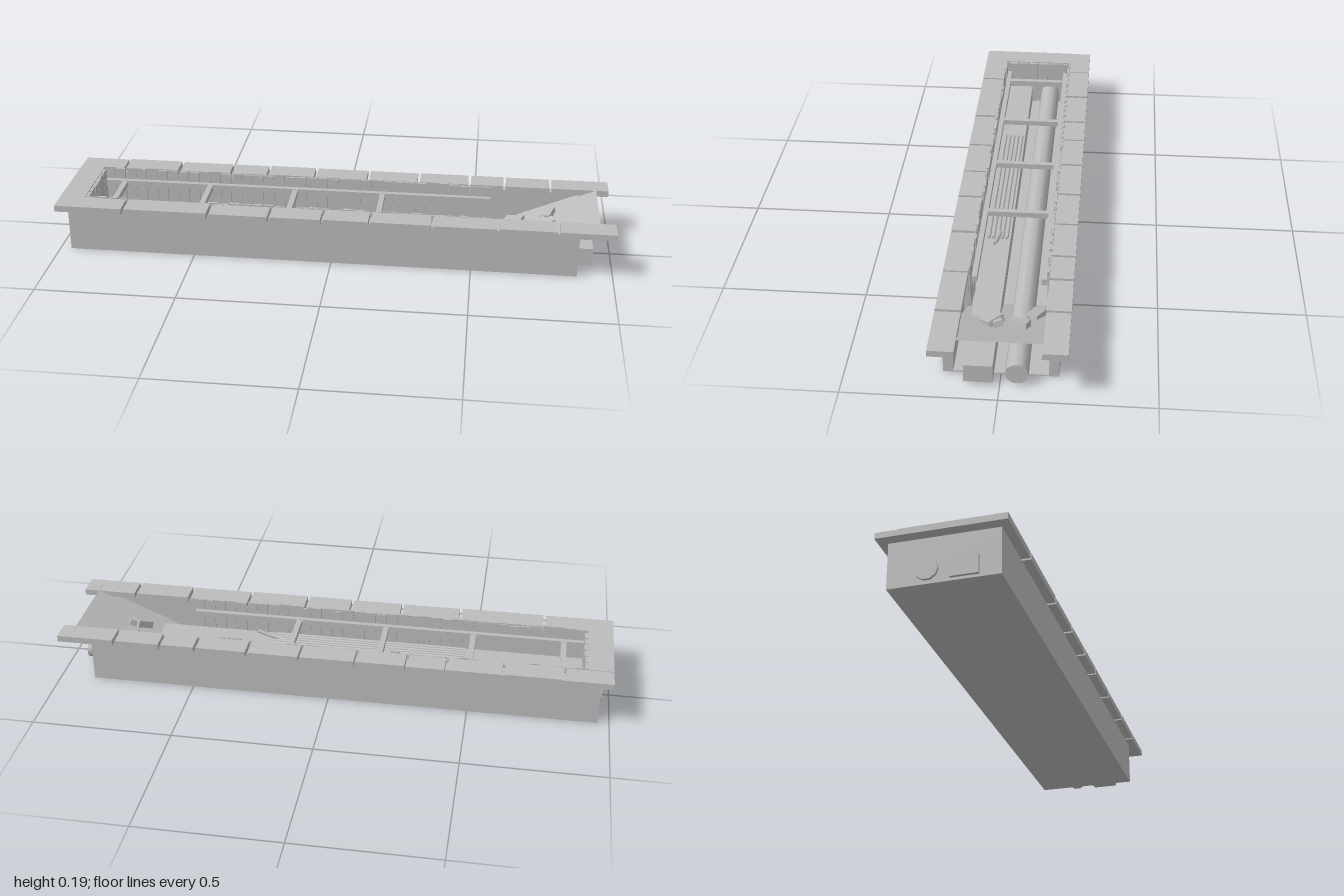
import * as THREE from 'three';

export function createModel() {
  const model = new THREE.Group();
  model.name = 'roadTrench';
  const grey = new THREE.MeshStandardMaterial({ color: 0xbcbcbc });
  grey.name = 'concreteGrey';
  const thinGrey = new THREE.MeshStandardMaterial({ color: 0xbcbcbc, side: THREE.DoubleSide });
  thinGrey.name = 'concreteGrey';

  let seed = 7;
  const rand = () => (seed = (seed * 16807) % 2147483647) / 2147483647;

  const add = (name, geometry, parent = model, material = grey) => {
    const mesh = new THREE.Mesh(geometry, material);
    mesh.name = name;
    parent.add(mesh);
    return mesh;
  };
  // Box given by its limits on each axis
  const box = (name, x0, x1, y0, y1, z0, z1, parent = model) => {
    const mesh = add(name, new THREE.BoxGeometry(x1 - x0, y1 - y0, z1 - z0), parent);
    mesh.position.set((x0 + x1) / 2, (y0 + y1) / 2, (z0 + z1) / 2);
    return mesh;
  };
  const group = (name) => {
    const g = new THREE.Group();
    g.name = name;
    model.add(g);
    return g;
  };

  // Ground block: floor, closed end and two long walls
  const block = group('groundBlock');
  box('floor', -0.96, 0.875, 0, 0.005, -0.186, 0.186, block);
  box('endWall', -0.96, -0.91, 0.005, 0.163, -0.186, 0.186, block);
  for (const s of [-1, 1]) {
    const z = [0.153 * s, 0.186 * s].sort((a, b) => a - b);
    box('sideWall', -0.91, 0.875, 0.005, 0.163, z[0], z[1], block);
    const f = [0.135 * s, 0.153 * s].sort((a, b) => a - b);
    box('sideFill', -0.91, 0.57, 0.005, 0.163, f[0], f[1], block);
  }

  // Pavement slabs, split by narrow joints
  const paving = group('paving');
  const slabRow = (joints, end, z0, z1) => {
    const cuts = [-1, ...joints, end];
    for (let i = 0; i < cuts.length - 1; i++) {
      const x0 = cuts[i] + (i ? 0.005 : 0);
      const x1 = cuts[i + 1] - (i < cuts.length - 2 ? 0.005 : 0);
      box('pavingSlab', x0, x1, 0.163, 0.184 + rand() * 0.003, z0, z1, paving);
    }
  };
  slabRow([-0.83, -0.62, -0.42, -0.28, -0.1, 0.1, 0.29, 0.48, 0.61, 0.78], 0.99, -0.217, -0.137);
  slabRow([-0.75, -0.44, -0.22, -0.03, 0.14, 0.36, 0.59, 0.8], 1, 0.133, 0.217);
  box('endSlab', -1, -0.91, 0.163, 0.186, -0.137, 0.133, paving);

  // Earth ramp at the open end, a thin sloping sheet
  const ramp = new THREE.BufferGeometry();
  ramp.setAttribute('position', new THREE.Float32BufferAttribute([
    0.52, 0.005, 0.135, 0.945, 0.187, 0.18, 0.945, 0.187, -0.18, 0.52, 0.005, -0.135,
  ], 3));
  ramp.setIndex([0, 1, 2, 0, 2, 3]);
  ramp.computeVertexNormals();
  add('earthRamp', ramp, model, thinGrey);

  // Timber lining planks with uneven faces and tops
  const lining = group('lining');
  const pitch = 0.041;
  for (const s of [-1, 1]) {
    for (let i = 0; i < 36; i++) {
      const x = -0.905 + i * pitch;
      const inner = (0.125 + rand() * 0.006) * s;
      const z = [inner, 0.136 * s].sort((a, b) => a - b);
      box('sidePlank', x, x + pitch - 0.006, 0.005, 0.18 + rand() * 0.011, z[0], z[1], lining);
    }
  }
  for (let i = 0; i < 6; i++) {
    const z = -0.122 + i * pitch;
    box('endPlank', -0.911, -0.902 + rand() * 0.005, 0.005, 0.183, z, z + pitch - 0.006, lining);
  }

  // Long rails and cross struts that brace the lining
  const bracing = group('bracing');
  box('rail', -0.9, 0.56, 0.122, 0.145, -0.126, -0.108, bracing);
  box('rail', -0.9, 0.56, 0.122, 0.145, 0.108, 0.126, bracing);
  for (const x of [-0.825, -0.495, -0.17, 0.158]) {
    box('crossStrut', x - 0.01, x + 0.01, 0.124, 0.144, -0.11, 0.11, bracing);
  }

  // Main pipe and square duct, through both ends
  const pipe = add('mainPipe', new THREE.CylinderGeometry(0.038, 0.038, 1.9, 10));
  pipe.rotation.z = Math.PI / 2;
  pipe.position.set(-0.02, 0.049, -0.054);
  box('duct', -0.97, 0.93, 0.01, 0.075, 0.022, 0.115);

  // Cables lying on the duct
  const cables = group('cables');
  for (const z of [0.035, 0.051, 0.067, 0.083, 0.099]) {
    const cable = add('cable', new THREE.CylinderGeometry(0.006, 0.006, 0.71, 8), cables);
    cable.rotation.z = Math.PI / 2;
    cable.position.set(-0.115, 0.081, z);
  }
  const bend = new THREE.CatmullRomCurve3([
    new THREE.Vector3(0.2, 0.081, 0.06),
    new THREE.Vector3(0.25, 0.088, 0.066),
    new THREE.Vector3(0.31, 0.105, 0.07),
  ]);
  add('looseCableEnd', new THREE.TubeGeometry(bend, 6, 0.007, 8), cables, thinGrey);

  // Broken blocks on the ramp: x, y, z, length, height, width, turn
  const rubble = group('rubble');
  for (const [x, y, z, l, h, w, turn] of [
    [0.77, 0.122, -0.052, 0.04, 0.025, 0.06, -0.3],
    [0.75, 0.118, 0.04, 0.06, 0.025, 0.06, 0.75],
    [0.775, 0.128, 0.02, 0.035, 0.02, 0.03, 0.4],
    [0.65, 0.068, -0.095, 0.07, 0.022, 0.045, -0.4],
  ]) {
    const stone = add('brokenBlock', new THREE.BoxGeometry(l, h, w), rubble);
    stone.position.set(x, y, z);
    stone.rotation.set(0.12, turn, 0.3);
  }

  return model;
}
